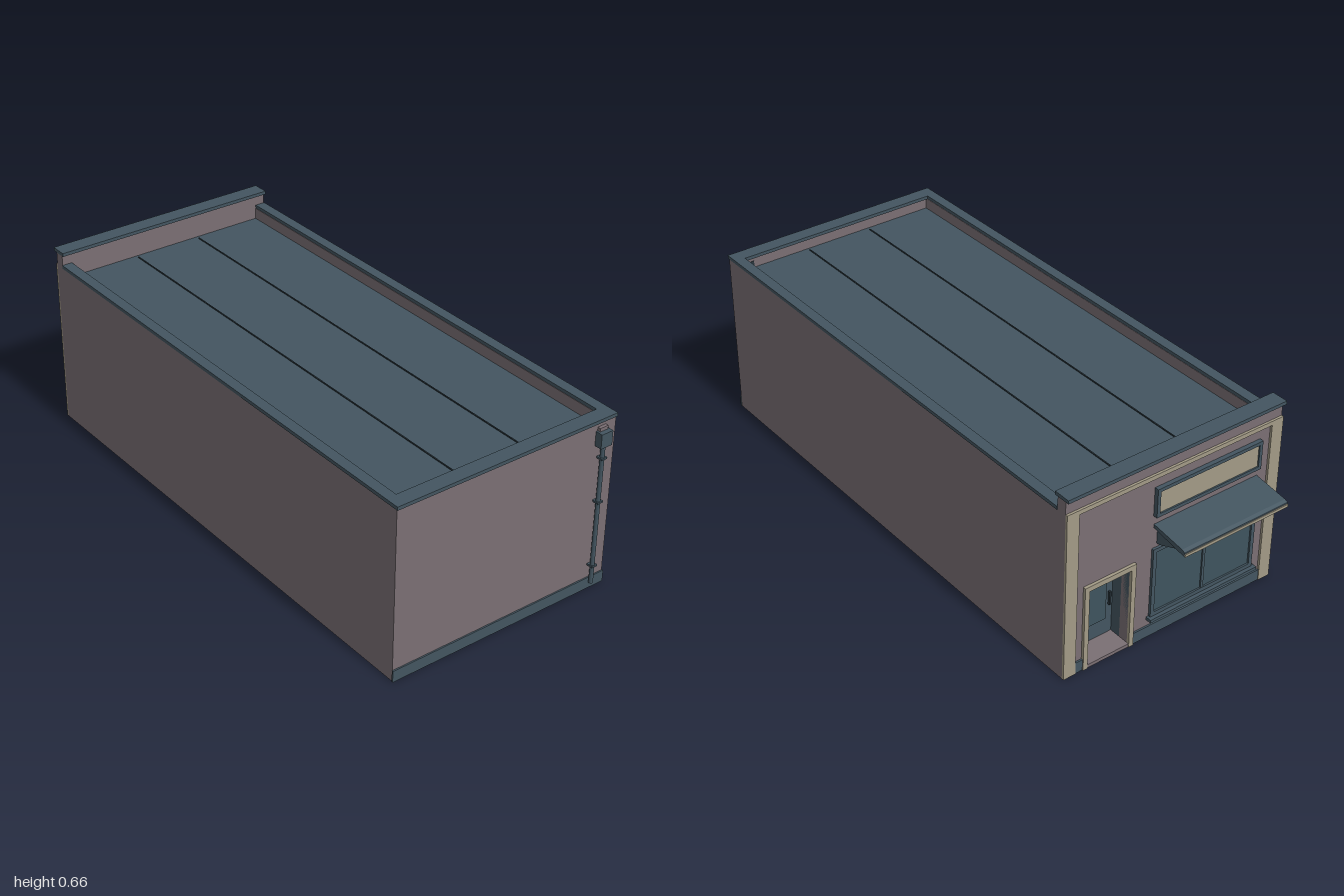
import * as THREE from 'three';

const paint = (name, color) => {
  const m = new THREE.MeshStandardMaterial({ color });
  m.name = name;
  return m;
};

export function createModel() {
  const wall = paint('mauve render', 0x7a6f74);
  const blue = paint('slate blue', 0x435560);
  const cream = paint('cream trim', 0xa29a86);
  const glass = paint('glass', 0x3f545e);
  const dark = paint('dark seam', 0x2a363d);
  const model = new THREE.Group();
  model.name = 'shop';

  // Box given by its extents along each axis
  const box = (name, mat, x0, x1, y0, y1, z0, z1, parent = model) => {
    const mesh = new THREE.Mesh(new THREE.BoxGeometry(x1 - x0, y1 - y0, z1 - z0), mat);
    mesh.position.set((x0 + x1) / 2, (y0 + y1) / 2, (z0 + z1) / 2);
    mesh.name = name;
    parent.add(mesh);
    return mesh;
  };
  // Profile of [distance behind centre, height], extruded from x0 to x1
  const extrudeX = (name, mat, points, x0, x1, parent) => {
    const shape = new THREE.Shape(points.map(([u, y]) => new THREE.Vector2(u, y)));
    const geo = new THREE.ExtrudeGeometry(shape, { depth: x1 - x0, bevelEnabled: false });
    geo.rotateY(Math.PI / 2).translate(x0, 0, 0);
    const mesh = new THREE.Mesh(geo, mat);
    mesh.name = name;
    parent.add(mesh);
  };
  // Rectangular border on the shop face
  const frame = (name, mat, x0, x1, y0, y1, z0, z1, t, parent) => {
    box(name, mat, x0, x1, y1 - t, y1, z0, z1, parent);
    box(name, mat, x0, x1, y0, y0 + t, z0, z1, parent);
    box(name, mat, x0, x0 + t, y0 + t, y1 - t, z0, z1, parent);
    box(name, mat, x1 - t, x1, y0 + t, y1 - t, z0, z1, parent);
  };
  const group = (name) => {
    const g = new THREE.Group();
    g.name = name;
    model.add(g);
    return g;
  };

  const W = 0.415, T = 0.036, F = -0.86;
  const doorL = 0.165, doorR = 0.325, doorH = 0.292;

  // Hollow walls, with a doorway in the shop face
  const walls = group('walls');
  for (const s of [-1, 1]) {
    const a = s * W, b = s * (W - T);
    box('sideWall', wall, Math.min(a, b), Math.max(a, b), 0, 0.6, F + T, 0.973, walls);
  }
  box('plainEndWall', wall, -W + T, W - T, 0, 0.6, 0.935, 0.973, walls);
  const face = new THREE.Shape([[-W, 0], [doorL, 0], [doorL, doorH], [doorR, doorH], [doorR, 0],
    [W, 0], [W, 0.648], [-W, 0.648]].map(([x, y]) => new THREE.Vector2(x, y)));
  const faceGeo = new THREE.ExtrudeGeometry(face, { depth: T, bevelEnabled: false }).translate(0, 0, F);
  const faceMesh = new THREE.Mesh(faceGeo, wall);
  faceMesh.name = 'shopFaceWall';
  walls.add(faceMesh);

  // Sunken roof with seams, and copings around it
  const roof = group('roof');
  box('roofDeck', blue, -W + T, W - T, 0.545, 0.56, F + T, 0.935, roof);
  for (const x of [-0.125, 0.125])
    box('roofSeam', dark, x - 0.002, x + 0.002, 0.56, 0.563, -0.81, 0.92, roof);
  box('sideCoping', blue, -0.417, -0.38, 0.6, 0.612, -0.823, 0.925, roof);
  box('sideCoping', blue, 0.38, 0.417, 0.6, 0.612, -0.823, 0.925, roof);
  box('endCoping', blue, -0.417, 0.417, 0.6, 0.612, 0.925, 0.978, roof);
  box('parapetCap', blue, -0.417, 0.417, 0.648, 0.66, -0.874, -0.814, roof);

  // Plinths
  box('endPlinth', blue, -0.417, 0.417, 0, 0.04, 0.973, 0.978);
  box('shopPlinth', blue, -0.37, 0.148, 0, 0.04, -0.866, F);
  box('shopPlinth', blue, 0.342, 0.37, 0, 0.04, -0.866, F);

  // Rainwater pipe with hopper and clips
  const drain = group('drainpipe');
  box('hopper', blue, 0.335, 0.38, 0.525, 0.575, 0.974, 1.0, drain);
  box('spout', wall, 0.342, 0.374, 0.575, 0.587, 0.972, 0.984, drain);
  box('roofOutlet', dark, 0.342, 0.374, 0.562, 0.585, 0.933, 0.936, drain);
  const pipe = new THREE.Mesh(new THREE.CylinderGeometry(0.0075, 0.0075, 0.5, 12), blue);
  pipe.position.set(0.3575, 0.275, 0.986);
  pipe.name = 'pipe';
  drain.add(pipe);
  for (const y of [0.09, 0.325, 0.481])
    box('pipeClip', blue, 0.347, 0.369, y - 0.003, y + 0.003, 0.973, 0.996, drain);

  // Cream pilasters and the band joining them
  const trim = group('shopTrim');
  box('pilaster', cream, -W, -0.37, 0, 0.603, -0.868, F, trim);
  box('pilaster', cream, 0.37, W, 0, 0.603, -0.868, F, trim);
  box('band', cream, -0.37, 0.37, 0.588, 0.603, -0.868, F, trim);

  // Recessed doorway
  const door = group('doorway');
  const zd = -0.785;
  box('doorReveal', blue, doorL - 0.006, doorL, 0.012, doorH, F + 0.002, zd, door);
  box('doorReveal', blue, doorR, doorR + 0.006, 0.012, doorH, F + 0.002, zd, door);
  box('doorSoffit', blue, doorL - 0.006, doorR + 0.006, doorH, doorH + 0.006, F + 0.002, zd, door);
  box('doorStep', wall, doorL, doorR, 0, 0.012, -0.868, zd, door);
  box('doorLeaf', blue, doorL - 0.006, doorR + 0.006, 0, doorH + 0.006, zd, zd + 0.012, door);
  box('doorGlass', glass, doorL + 0.025, doorR - 0.025, 0.07, doorH - 0.03, zd - 0.003, zd, door);
  box('doorHandle', dark, doorL + 0.01, doorL + 0.016, 0.12, 0.17, zd - 0.008, zd, door);
  box('doorJamb', cream, doorL - 0.017, doorL, 0, 0.31, -0.87, F, door);
  box('doorJamb', cream, doorR, doorR + 0.017, 0, 0.31, -0.87, F, door);
  box('doorHead', cream, doorL, doorR, doorH, 0.31, -0.87, F, door);

  // Two-pane shop window
  const win = group('shopWindow');
  frame('windowFrame', blue, -0.333, 0.083, 0.075, 0.33, -0.869, F, 0.014, win);
  box('windowMullion', blue, -0.13, -0.12, 0.089, 0.316, -0.868, F, win);
  box('windowGlass', glass, -0.319, 0.069, 0.089, 0.316, -0.863, F, win);
  box('windowSill', blue, -0.342, 0.092, 0.064, 0.075, -0.882, F, win);

  // Blank sign board
  const sign = group('signBoard');
  frame('signFrame', blue, -0.331, 0.083, 0.45, 0.552, -0.875, F, 0.012, sign);
  box('signPanel', cream, -0.319, 0.071, 0.462, 0.54, -0.87, F, sign);

  // Sloping awning on two brackets
  const awning = group('awning');
  extrudeX('canopy', blue, [[0.86, 0.406], [0.99, 0.383], [0.997, 0.383], [0.997, 0.397],
    [0.985, 0.402], [0.86, 0.419]], -0.33, 0.08, awning);
  box('awningEdge', cream, -0.33, 0.08, 0.382, 0.392, -1.0, -0.997, awning);
  for (const x of [-0.315, 0.053])
    extrudeX('awningBracket', blue, [[0.86, 0.343], [0.872, 0.343], [0.975, 0.386], [0.86, 0.407]],
      x, x + 0.012, awning);

  return model;
}
